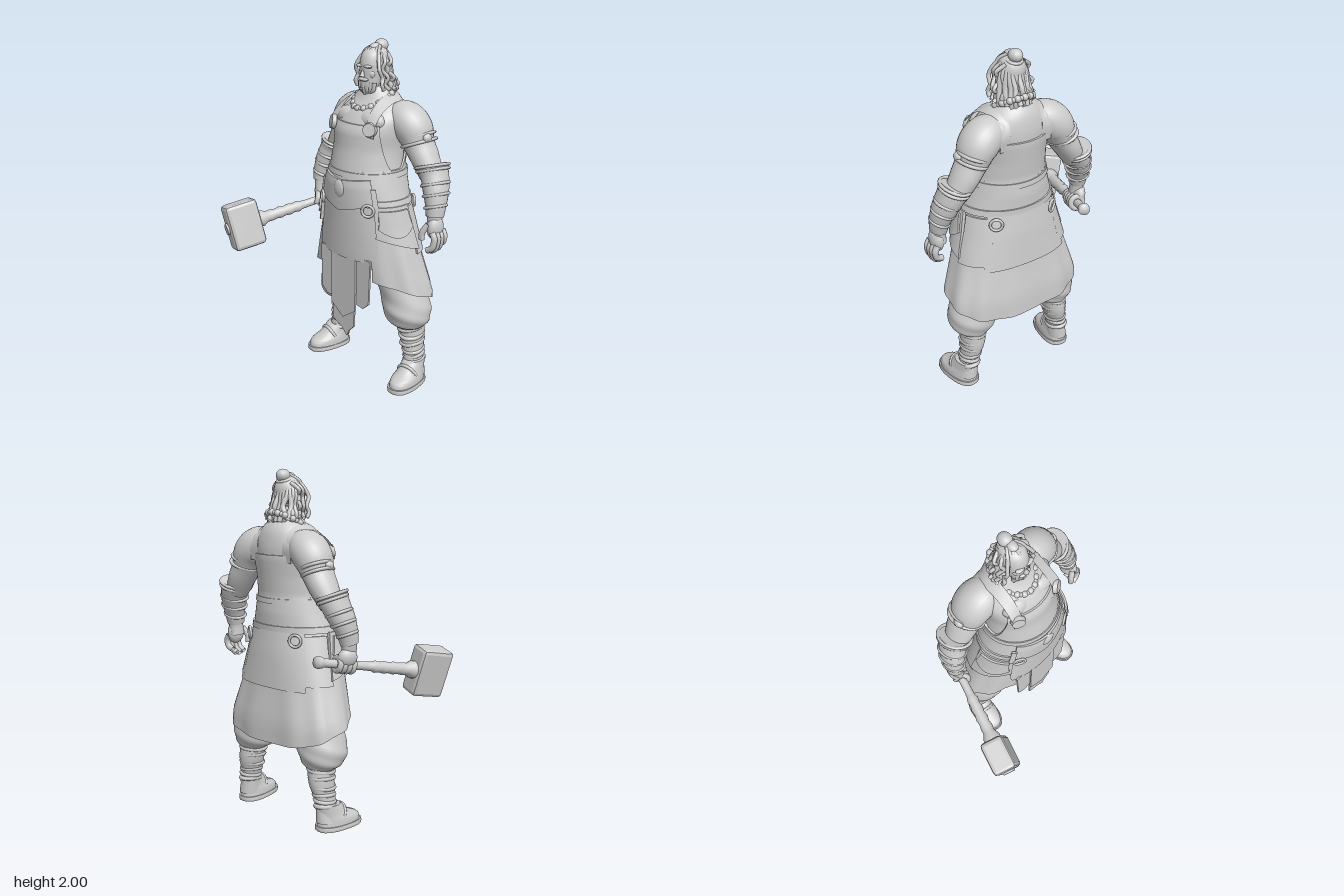
import * as THREE from 'three';
import { toCreasedNormals } from 'three/addons/utils/BufferGeometryUtils.js';
import { RoundedBoxGeometry } from 'three/addons/geometries/RoundedBoxGeometry.js';

const V = (x, y, z) => new THREE.Vector3(x, y, z);
const { lerp, clamp } = THREE.MathUtils;
const grey = new THREE.MeshStandardMaterial({ color: 0xcccccc, side: THREE.DoubleSide });
grey.name = 'clay grey';

function add(parent, name, geo) {
  const m = new THREE.Mesh(geo, grey);
  m.name = name;
  parent.add(m);
  return m;
}

// Grid of points fn(i, j), optionally closed in i and capped at both ends
function grid(fn, nu, nv, closed = false) {
  const pos = [], idx = [], w = closed ? nu : nu + 1;
  for (let j = 0; j <= nv; j++) for (let i = 0; i < w; i++) pos.push(...fn(i, j).toArray());
  for (let j = 0; j < nv; j++) for (let i = 0; i < nu; i++) {
    const a = j * w + i, b = j * w + (i + 1) % w;
    idx.push(a, b, a + w, b, b + w, a + w);
  }
  if (closed) for (const j of [0, nv]) {
    const c = V(0, 0, 0), k = pos.length / 3;
    for (let i = 0; i < nu; i++) c.add(fn(i, j));
    pos.push(...c.divideScalar(nu).toArray());
    for (let i = 0; i < nu; i++) {
      const a = j * w + i, b = j * w + (i + 1) % w;
      if (j) idx.push(a, b, k); else idx.push(b, a, k);
    }
  }
  const g = new THREE.BufferGeometry();
  g.setAttribute('position', new THREE.Float32BufferAttribute(pos, 3));
  g.setIndex(idx);
  return toCreasedNormals(g, 0.9);
}

// Smooth body through rows of [x, y, z, rx, rz]
function loft(rows, { n = 24, flat = false, pow = 2, wob = () => 1 } = {}) {
  const path = new THREE.CatmullRomCurve3(rows.map(r => V(r[0], r[1], r[2])), false, 'catmullrom');
  const rad = new THREE.CatmullRomCurve3(rows.map(r => V(r[3], r[4], 0)), false, 'catmullrom');
  const nv = (rows.length - 1) * 5, p = v => Math.sign(v) * Math.abs(v) ** (2 / pow);
  return grid((i, j) => {
    const t = j / nv, a = i / n * Math.PI * 2, c = path.getPoint(t), r = rad.getPoint(t);
    const T = flat ? V(0, -1, 0) : path.getTangent(t);
    const u = T.clone().cross(V(0, 0, 1)).normalize(), v = u.clone().cross(T), k = wob(a, t);
    return c.addScaledVector(u, r.x * k * p(Math.sin(a))).addScaledVector(v, r.y * k * p(Math.cos(a)));
  }, n, nv, true);
}

// Trunk outline: [y, centre z, rx, rz]
const trunk = [[.4, -.19, .42, .22], [.6, -.19, .405, .217], [.8, -.17, .345, .208], [1, -.16, .29, .205],
  [1.12, -.15, .262, .2], [1.22, -.15, .233, .203], [1.32, -.155, .21, .19], [1.42, -.17, .203, .185],
  [1.52, -.18, .215, .187], [1.6, -.2, .21, .165], [1.68, -.225, .145, .12], [1.75, -.215, .07, .075]];
// Point on the trunk, squarer behind towards the hem
function onTrunk(a, y, off) {
  let k = 0;
  while (k < trunk.length - 2 && trunk[k + 1][0] < y) k++;
  const A = trunk[k], B = trunk[k + 1], t = (y - A[0]) / (B[0] - A[0]), S = Math.sin(a), C = Math.cos(a);
  const q = C < 0 ? 2 / (2 + .7 * clamp((1.1 - y) / .5, 0, 1)) : 1;
  return V((lerp(A[2], B[2], t) + off) * Math.sign(S) * Math.abs(S) ** q, y,
    lerp(A[1], B[1], t) + (lerp(A[3], B[3], t) + off) * Math.sign(C) * Math.abs(C) ** q);
}

// Leather piece wrapped on the trunk, with a turned-in rim; h0/h1 are half angles below and above
function patch(c, h0, h1, y0, y1, off, th = .012, fold = () => 0) {
  const nu = Math.max(8, Math.round(h0 * 20)), nv = 12, f = y => typeof y === 'function' ? y : () => y;
  return grid((i, j) => {
    const rim = i === 0 || j === 0 || i === nu + 2 || j === nv + 2;
    const u = clamp((i - 1) / nu, 0, 1) * 2 - 1, v = clamp((j - 1) / nv, 0, 1);
    const a = c + u * lerp(h0, h1, v ** .55);
    return onTrunk(a, lerp(f(y0)(a, u), f(y1)(a, u), v), off - (rim ? th : 0) + fold(a, v));
  }, nu + 2, nv + 2);
}

const tube = (pts, r, n = 7) => new THREE.TubeGeometry(new THREE.CatmullRomCurve3(pts), pts.length * 4, r, n);
function ball(parent, name, p, r) {
  const m = add(parent, name, new THREE.SphereGeometry(1, 18, 12));
  m.position.set(...p);
  m.scale.set(...r);
  return m;
}
function band(parent, name, p, dir, r, t) {
  const m = add(parent, name, new THREE.TorusGeometry(r, t, 8, 26));
  m.position.copy(p);
  m.quaternion.setFromUnitVectors(V(0, 0, 1), dir.clone().normalize());
  return m;
}
function plate(parent, name, pts, z) {
  const g = new THREE.ExtrudeGeometry(new THREE.Shape(pts.map(p => new THREE.Vector2(...p))), { depth: .012, bevelEnabled: false });
  const m = add(parent, name, g);
  m.position.z = z;
  return m;
}

function buildTrunk(g) {
  add(g, 'torso', loft(trunk.slice(3).map(t => [0, t[0], t[1], t[2], t[3]]), { n: 36, flat: true }));
  add(g, 'neck', loft([[0, 1.64, -.23, .1, .09], [0, 1.72, -.215, .066, .07], [0, 1.8, -.2, .058, .065]], { flat: true }));
  add(g, 'bib', patch(0, 1.5, .86, 1.3, 1.56, .014));
  add(g, 'backPanel', patch(Math.PI, 1.45, .75, 1.3, 1.54, .014));
  add(g, 'belt', patch(0, Math.PI, Math.PI, 1.12, 1.31, .014));
  add(g, 'beltUpperEdge', patch(0, Math.PI, Math.PI, 1.27, 1.3, .02));
  add(g, 'lowerBelt', patch(0, Math.PI, Math.PI, 1.115, 1.15, .022));
  add(g, 'beltPlate', patch(0, .9, .8, (a, u) => 1.07 + .07 * Math.abs(u), (a, u) => 1.25 + .02 * Math.abs(u), .026, .014));
  ball(g, 'beltBoss', [0, 1.2, .07], [.042, .052, .018]);
  // Skirt open at the front, lower at the back
  add(g, 'skirt', patch(Math.PI, 2.6, 2.5, a => .585 + .1 * Math.cos(a), 1.13, .008, .008,
    (a, v) => .007 * (1 - v) * Math.sin(a * 11)));
  add(g, 'frontFlap', patch(0, .66, .85, .78, 1.13, .012));
  add(g, 'rearFlap', patch(Math.PI, .75, .85, .8, 1.12, .018));
  plate(g, 'middleStrip', [[-.1, .8], [.1, .8], [.1, .46], [0, .39], [-.1, .46]], .03);
  plate(g, 'tornCloth', [[-.09, .8], [.085, .8], [.08, .35], [.04, .31], [.02, .27], [-.02, .31], [-.06, .33], [-.1, .35]], .018);
  for (const s of [1, -1]) {
    plate(g, 'sideStrip', [[s * .095, .8], [s * .205, .8], [s * .195, .53], [s * .15, .49], [s * .095, .5]], .015);
    ball(g, 'chestMuscle', [s * .085, 1.575, -.09], [.095, .06, .058]);
    ball(g, 'shoulderBlade', [s * .13, 1.58, -.295], [.08, .08, .055]);
    add(g, 'hipGuard', patch(s * 1.25, .5, .45, (a, u) => .9 - .04 * s * u, 1.12, .03, .02));
    add(g, 'hipPocket', patch(s * 1.25, .42, .36, (a, u) => 1 - .05 * (1 - u * u), 1.1, .042, .012));
    add(g, 'rearHipGuard', patch(s * 2.1, .4, .35, .83, 1.1, .018, .014));
    band(g, 'beltRing', V(s * .185, 1.1, .03), V(s * .6, 0, 1), .033, .008);
    band(g, 'rearRing', onTrunk(s * 2.5, 1.08, .035), V(s * .6, 0, -1), .033, .008);
    add(g, 'ringStrap', patch(s * .85, .06, .06, 1.1, 1.22, .034));
    // Shoulder strap
    const path = new THREE.CatmullRomCurve3([V(.145, 1.5, -.015), V(.145, 1.57, -.025), V(.138, 1.65, -.095), V(.135, 1.695, -.2),
      V(.132, 1.68, -.285), V(.13, 1.6, -.35), V(.13, 1.5, -.345)]);
    add(g, 'shoulderStrap', grid((i, j) => {
      const p = path.getPoint(j / 24);
      return V(s * (p.x + (i - 1) * .031), p.y - (i - 1) * .02 * Math.sin(j / 24 * Math.PI), p.z);
    }, 2, 24));
    const b = add(g, 'strapButton', new THREE.CylinderGeometry(.036, .042, .024, 20));
    b.position.set(s * .145, 1.545, -.014);
    b.rotation.set(1.35, 0, -s * .5);
  }
}

function buildLeg(g, s) {
  add(g, 'trouserLeg', loft([[s * .12, .9, -.17, .11, .14], [s * .195, .7, -.205, .14, .145], [s * .25, .55, -.218, .142, .14],
    [s * .272, .46, -.22, .144, .142], [s * .28, .39, -.225, .12, .12], [s * .285, .35, -.235, .07, .08]],
  { n: 36, flat: true, wob: (a, t) => 1 + .03 * Math.sin(a * 3 + t * 26) * t }));
  add(g, 'shin', loft([[s * .285, .4, -.245, .07, .086], [s * .295, .28, -.25, .066, .082], [s * .315, .17, -.24, .053, .066],
    [s * .33, .05, -.235, .06, .075]], { flat: true }));
  [[.345, .063, .287], [.3, .061, .293], [.25, .056, .3], [.205, .051, .309], [.17, .048, .315], [.14, .051, .32]].forEach(([y, r, x], i) => {
    const b = band(g, 'legWrap', V(s * x, y, -.245), V((i % 2 - .5) * .2, 1, .12), r, .013);
    b.scale.y = 1.22;
  });
  const foot = new THREE.Group();
  foot.name = 'shoe';
  foot.position.set(s * .335, 0, -.2);
  foot.rotation.y = s * .15;
  g.add(foot);
  add(foot, 'sole', loft([[0, 0, .04, .078, .148], [0, .012, .04, .08, .15], [0, .028, .04, .078, .148]], { flat: true, pow: 2.5 }));
  add(foot, 'upper', loft([[0, .02, .04, .075, .143], [0, .06, .035, .073, .133], [0, .095, 0, .064, .1], [0, .15, -.035, .058, .073]],
    { flat: true, pow: 2.2 }));
  band(foot, 'shoeStrap', V(0, .075, .035), V(0, -.45, 1), .06, .01);
}

function buildArm(g, s) {
  const X = r => r.map(q => [s * q[0], ...q.slice(1)]);
  add(g, 'upperArm', loft(X([[.1, 1.61, -.24, .065, .08], [.185, 1.583, -.25, .1, .11], [.245, 1.53, -.26, .104, .113],
    [.286, 1.45, -.265, .081, .095], [.33, 1.38, -.267, .073, .088], [.385, 1.29, -.262, .062, .07]])));
  for (const k of [-.017, .017]) {
    const b = band(g, 'armBand', V(s * (.278 - k * .4), 1.475 + k, -.265), V(-s * .4, 1, 0), .083, .01);
    b.scale.y = 1.18;
  }
  ball(g, 'armBandStud', [s * .355, 1.5, -.25], [.02, .025, .03]);
  add(g, 'bracer', loft(X([[.385, 1.345, -.265, .084, .095], [.41, 1.295, -.26, .073, .086], [.44, 1.22, -.24, .066, .078],
    [.458, 1.15, -.222, .056, .063], [.465, 1.085, -.21, .047, .053]])));
  [[.385, 1.345, -.265, .084], [.392, 1.325, -.265, .08], [.425, 1.255, -.25, .069], [.445, 1.2, -.237, .063], [.459, 1.14, -.22, .054]].forEach(
    ([x, y, z, r]) => { band(g, 'bracerBand', V(s * x, y, z), V(-s * .35, 1, -.12), r, .009).scale.y = 1.13; });
  add(g, 'wrist', loft(X([[.464, 1.12, -.215, .042, .048], [.463, 1.06, -.21, .037, .045], [.456, 1.01, -.208, .033, .045]])));
  if (s < 0) return;
  // Relaxed open hand
  ball(g, 'palm', [.475, 1.025, -.205], [.038, .07, .056]);
  for (let i = 0; i < 4; i++) {
    const z = -.163 - i * .028, L = [.11, .12, .115, .09][i];
    add(g, 'finger', tube([V(.49, 1.01, z), V(.508, .975, z), V(.498, 1 - L * .7, z + .004), V(.465, 1.01 - L, z + .008)], .0185));
  }
  add(g, 'thumb', tube([V(.46, 1.05, -.165), V(.435, 1, -.145), V(.432, .96, -.145)], .018));
}

function buildHead(g) {
  add(g, 'face', loft([[0, 1.69, -.15, .022, .02], [0, 1.74, -.158, .05, .05], [0, 1.8, -.17, .062, .066],
    [0, 1.87, -.183, .069, .08], [0, 1.93, -.195, .06, .073], [0, 1.965, -.205, .025, .035]], { flat: true }));
  const nose = add(g, 'nose', new THREE.ConeGeometry(.017, .062, 6));
  nose.position.set(0, 1.835, -.106);
  nose.rotation.x = -.25;
  ball(g, 'hairCap', [0, 1.885, -.21], [.076, .082, .078]);
  ball(g, 'hairBun', [0, 1.963, -.245], [.038, .036, .042]);
  ball(g, 'topKnot', [0, 1.955, -.2], [.03, .026, .04]);
  band(g, 'hairTie', V(0, 1.94, -.235), V(0, 1, -.3), .04, .009);
  ball(g, 'moustache', [0, 1.79, -.108], [.038, .011, .016]);
  for (const s of [1, -1]) {
    ball(g, 'brow', [s * .03, 1.862, -.112], [.03, .009, .016]);
    ball(g, 'cheek', [s * .036, 1.82, -.135], [.022, .025, .018]);
    ball(g, 'ear', [s * .07, 1.835, -.19], [.013, .028, .02]);
    // Loose wavy locks beside the face
    for (let k = 0; k < 3; k++) {
      const z = -.15 - k * .035, w = .012 * (k - 1);
      add(g, 'sideLock', tube([V(s * .055, 1.925, z - .02), V(s * (.09 + w), 1.885, z), V(s * (.08 - w), 1.845, z + .01),
        V(s * (.108 + w), 1.8, z - .01), V(s * (.092 - w), 1.765, z), V(s * (.115 + w), 1.735, z - .015)], .0115, 6));
    }
  }
  for (let i = -3; i <= 3; i++) {
    const x = i * .015, d = Math.abs(x) * .5;
    add(g, 'beardLock', tube([V(x * 1.2, 1.775, -.115 - d), V(x * 1.1, 1.735, -.116 - d), V(x * .6, 1.695 + d, -.137)], .013, 6));
    // Strands drawn up from the hairline to the knot
    add(g, 'topStrand', tube([V(x * 1.4, 1.905 - d, -.125 - d * 1.4), V(x * 1.2, 1.945 - d * .5, -.15 - d), V(x * .5, 1.965, -.21)], .011, 6));
  }
  // Long wavy locks swept to the back
  for (let i = 0; i < 15; i++) {
    const a = 1.6 + i / 14 * (Math.PI * 2 - 3.2), S = Math.sin(a), C = Math.cos(a), w = .014 * Math.sin(i * 2.4);
    add(g, 'hairLock', tube([V(S * .05, 1.93, -.205 + C * .05), V(S * .08, 1.86, -.21 + C * .065), V(S * (.082 + w), 1.8, -.215 + C * (.08 - w)),
      V(S * .1, 1.755, -.22 + C * .092), V(S * (.092 + w), 1.71 + w, -.22 + C * (.1 + w))], .0155, 6));
  }
  // Chunky necklace, lower at the front
  for (let i = 0; i < 36; i++) {
    const a = i / 36 * Math.PI * 2, r = i % 2 ? .014 : .019;
    ball(g, 'necklaceBead', [.108 * Math.sin(a), 1.7 - .068 * Math.cos(a), -.2 + .13 * Math.cos(a)], [r, r, r]);
  }
}

function buildHammer(g) {
  const h = new THREE.Group(), d = V(-.305, -.174, .93).normalize();
  const up = V(-.25, .96, .1).addScaledVector(d, -V(-.25, .96, .1).dot(d)).normalize();
  h.name = 'hammer';
  h.quaternion.setFromRotationMatrix(new THREE.Matrix4().makeBasis(up.clone().cross(d), up, d));
  h.position.set(-.61, .875, .293);
  g.add(h);
  add(h, 'hammerHead', toCreasedNormals(new RoundedBoxGeometry(.136, .28, .2, 1, .022), .3));
  const boss = add(h, 'hammerBoss', new THREE.CylinderGeometry(.034, .038, .02, 18));
  boss.rotation.x = Math.PI / 2;
  boss.position.z = .102;
  const prof = [[0, -.735], [.03, -.73], [.035, -.71], [.03, -.69], [.024, -.68], [.024, -.42], [.026, -.38], [.034, -.36], [.029, -.33],
    [.035, -.3], [.03, -.27], [.036, -.24], [.031, -.21], [.036, -.18], [.034, -.15], [.05, -.12], [.05, -.09]];
  add(h, 'hammerHandle', new THREE.LatheGeometry(prof.map(p => new THREE.Vector2(...p)), 18)).rotation.x = Math.PI / 2;
  // Gripping hand
  ball(h, 'grippingPalm', [-.016, .045, -.555], [.038, .055, .058]);
  for (let i = 0; i < 4; i++) add(h, 'grippingFinger', new THREE.TorusGeometry(.036, .017, 8, 18)).position.z = -.595 + i * .028;
  add(h, 'grippingThumb', tube([V(.01, .05, -.51), V(.035, .02, -.49), V(.025, -.015, -.475)], .016));
}

export function createModel() {
  const model = new THREE.Group(), body = new THREE.Group();
  model.name = 'smith';
  body.name = 'figure';
  body.position.x = .09;
  model.add(body);
  buildTrunk(body);
  for (const s of [1, -1]) {
    buildLeg(body, s);
    buildArm(body, s);
  }
  buildHead(body);
  buildHammer(body);
  return model;
}
